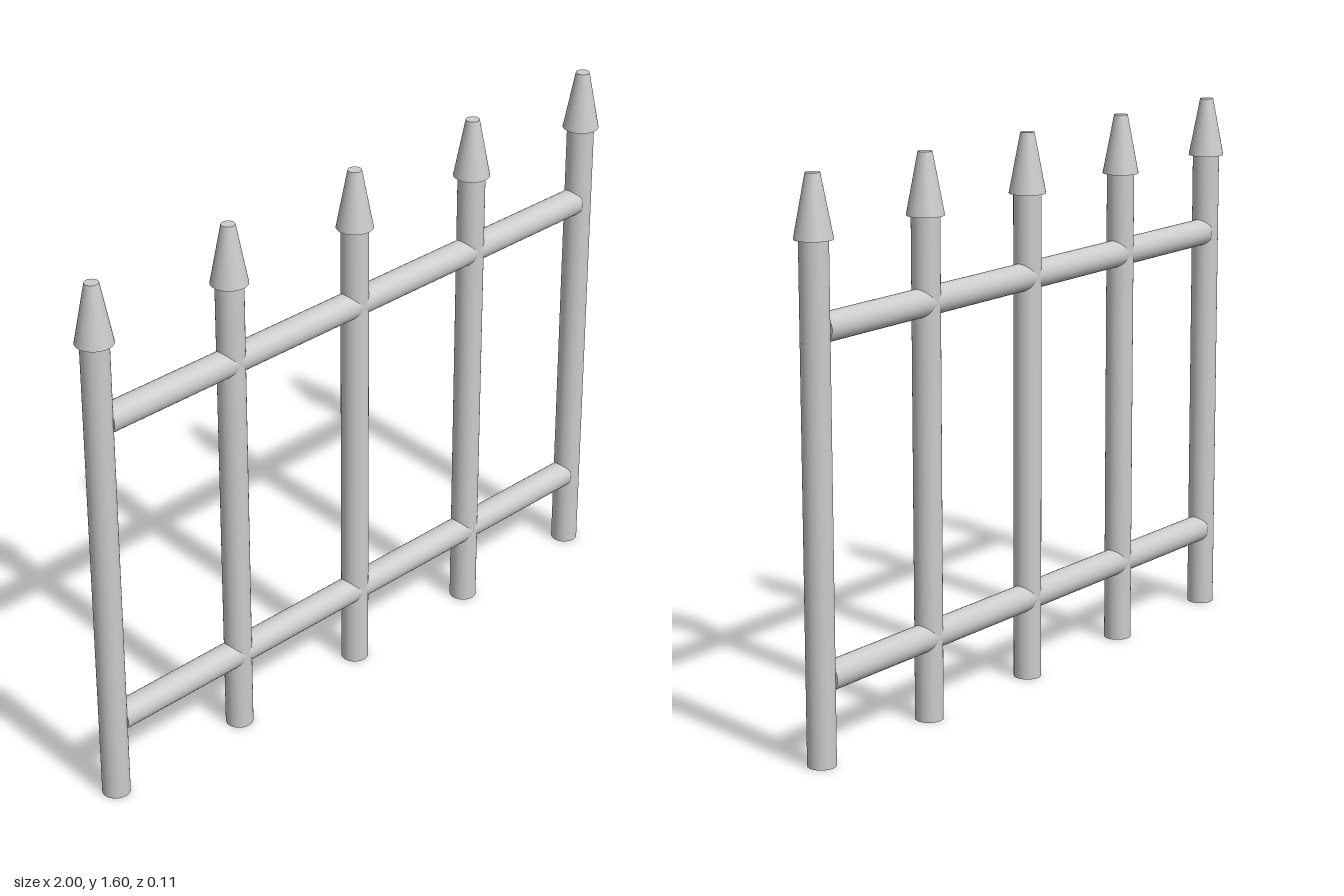
import * as THREE from 'three';

const SPACING = 0.4735;
const POST_HEIGHT = 1.422;
const TIP_HEIGHT = 0.173;
const BAR_RADIUS = 0.04;

export function createModel() {
  const fence = new THREE.Group();
  fence.name = 'fence';
  const material = new THREE.MeshStandardMaterial({ color: 0xcccccc });

  const add = (name, geometry, x, y) => {
    const mesh = new THREE.Mesh(geometry, material);
    mesh.name = name;
    mesh.position.set(x, y, 0);
    fence.add(mesh);
  };

  // Five upright posts, each capped with a blunt spear tip
  const post = new THREE.CylinderGeometry(BAR_RADIUS, BAR_RADIUS, POST_HEIGHT, 32);
  const tip = new THREE.CylinderGeometry(0.02, 0.053, TIP_HEIGHT, 32);
  for (let i = -2; i <= 2; i++) {
    add('post', post, i * SPACING, POST_HEIGHT / 2);
    add('spearTip', tip, i * SPACING, POST_HEIGHT + TIP_HEIGHT / 2);
  }

  // Two horizontal rails ending inside the outer posts
  const rail = new THREE.CylinderGeometry(BAR_RADIUS, BAR_RADIUS, 1.85, 32).rotateZ(Math.PI / 2);
  add('lowerRail', rail, 0, 0.24);
  add('upperRail', rail, 0, 1.185);

  return fence;
}
